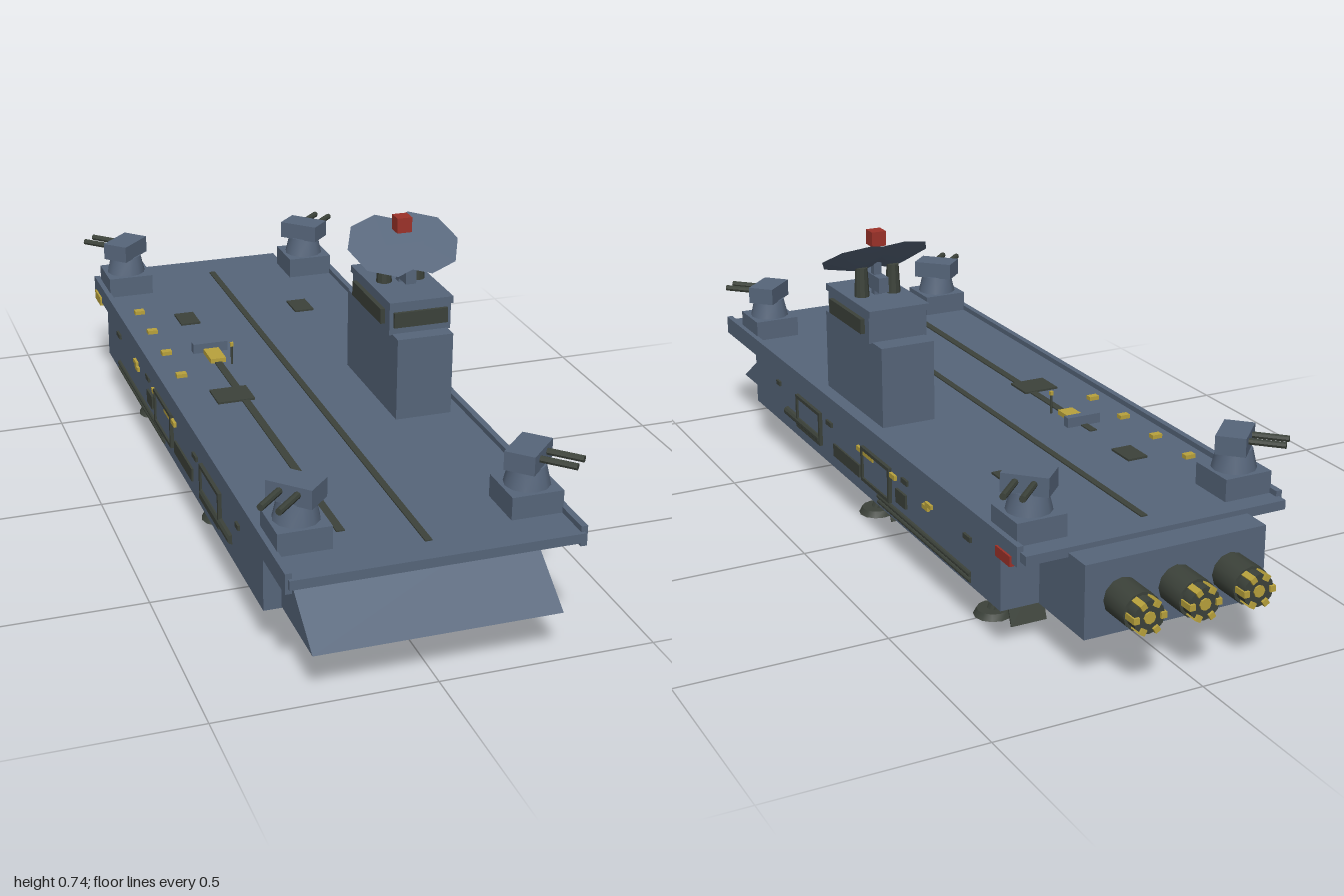
import * as THREE from 'three';
import { toCreasedNormals } from 'three/addons/utils/BufferGeometryUtils.js';

const mat = (name, color) => {
  const m = new THREE.MeshStandardMaterial({ color });
  m.name = name;
  return m;
};

export function createModel() {
  const slate = mat('slate', 0x56657a);
  const dark = mat('darkOlive', 0x3c423a);
  const yellow = mat('yellow', 0xb9a23c);
  const red = mat('red', 0x9c3229);
  const model = new THREE.Group();
  model.name = 'carrierShip';

  const add = (parent, name, geo, material) => {
    const mesh = new THREE.Mesh(geo, material);
    mesh.name = name;
    parent.add(mesh);
    return mesh;
  };
  // Box given by its min and max along each axis
  const box = (parent, name, material, x0, x1, y0, y1, z0, z1) => {
    const mesh = add(parent, name, new THREE.BoxGeometry(Math.abs(x1 - x0), y1 - y0, z1 - z0), material);
    mesh.position.set((x0 + x1) / 2, (y0 + y1) / 2, (z0 + z1) / 2);
    return mesh;
  };
  // Cylinder running from point a to point b
  const rod = (parent, name, material, a, b, ra, rb = ra, sides = 12) => {
    const A = new THREE.Vector3(...a), B = new THREE.Vector3(...b);
    const dir = B.clone().sub(A);
    const geo = toCreasedNormals(new THREE.CylinderGeometry(rb, ra, dir.length(), sides), 0.6);
    const mesh = add(parent, name, geo, material);
    mesh.position.copy(A).add(B).multiplyScalar(0.5);
    mesh.quaternion.setFromUnitVectors(new THREE.Vector3(0, 1, 0), dir.normalize());
    return mesh;
  };

  // Hull, stern block, deck
  box(model, 'hull', slate, -0.32, 0.32, 0.11, 0.272, -0.69, 0.79);
  box(model, 'sternBlock', slate, -0.225, 0.225, 0.108, 0.28, -0.885, -0.68);
  box(model, 'deck', slate, -0.326, 0.326, 0.27, 0.292, -0.815, 0.99);

  // Sloping bow wedge
  const bow = new THREE.Shape([[0.78, 0.115], [1, 0.115], [0.79, 0.257], [0.78, 0.257]]
    .map(p => new THREE.Vector2(...p)));
  const bowGeo = new THREE.ExtrudeGeometry(bow, { depth: 0.56, bevelEnabled: false });
  bowGeo.rotateY(-Math.PI / 2).translate(0.28, 0, 0);
  add(model, 'bowWedge', bowGeo, slate);

  // Deck markings and hatches
  box(model, 'centreLine', dark, -0.008, 0.008, 0.29, 0.295, -0.75, 0.92);
  box(model, 'launchTrack', dark, -0.17, -0.151, 0.29, 0.295, -0.255, 0.825);
  for (const x of [-0.16, 0.158]) box(model, 'deckHatch', dark, x - 0.026, x + 0.026, 0.29, 0.297, -0.462, -0.385);
  box(model, 'deckLift', dark, -0.23, -0.137, 0.29, 0.297, 0.05, 0.13);
  for (const z of [-0.505, -0.36, -0.21, -0.06]) {
    box(model, 'deckLamp', yellow, -0.285, -0.259, 0.29, 0.302, z - 0.009, z + 0.009);
  }

  // Launch shuttle, blast deflector and mast
  box(model, 'shuttle', yellow, -0.18, -0.14, 0.291, 0.304, -0.187, -0.115);
  box(model, 'blastDeflector', slate, -0.205, -0.115, 0.29, 0.317, -0.21, -0.19);
  rod(model, 'mast', dark, [-0.129, 0.29, -0.1], [-0.129, 0.342, -0.1], 0.003, 0.003, 6);
  box(model, 'mastLamp', yellow, -0.133, -0.125, 0.34, 0.35, -0.104, -0.096);

  // Side details, mirrored. Rows: name, material, z0, z1, y0, y1, thickness
  const sideParts = [
    ['sidePanel', slate, 0.315, 0.465, 0.15, 0.225, 0.004],
    ['sidePanel', slate, -0.12, 0.032, 0.155, 0.23, 0.004],
    ['vent', dark, 0.06, 0.225, 0.145, 0.178, 0.005],
    ['hatch', dark, -0.215, -0.16, 0.165, 0.2, 0.006],
    ['port', dark, 0.595, 0.62, 0.215, 0.227, 0.006],
    ['port', dark, 0.235, 0.27, 0.217, 0.229, 0.006],
    ['port', dark, -0.225, -0.193, 0.227, 0.24, 0.006],
    ['port', dark, -0.555, -0.52, 0.217, 0.229, 0.006],
    ['lampStrip', yellow, -0.03, 0.07, 0.217, 0.229, 0.007],
    ['lampStrip', yellow, -0.158, -0.128, 0.217, 0.229, 0.007],
    ['lampStrip', yellow, -0.34, -0.31, 0.208, 0.219, 0.007],
    ['lampStrip', yellow, -0.357, -0.325, 0.219, 0.229, 0.007],
  ];
  for (const s of [1, -1]) {
    const side = new THREE.Group();
    side.name = s > 0 ? 'leftSide' : 'rightSide';
    model.add(side);
    for (const [name, m, z0, z1, y0, y1, t] of sideParts) {
      box(side, name, m, s * 0.315, s * (0.32 + t), y0, y1, z0, z1);
    }
    // Door frames
    for (const [z0, z1, y0, y1] of [[0.307, 0.472, 0.143, 0.233], [-0.128, 0.04, 0.148, 0.238]]) {
      const b = 0.009;
      for (const [a0, a1, c0, c1] of [[z0, z1, y0, y0 + b], [z0, z1, y1 - b, y1],
        [z0, z0 + b, y0, y1], [z1 - b, z1, y0, y1]]) {
        box(side, 'doorFrame', dark, s * 0.315, s * 0.329, c0, c1, a0, a1);
      }
    }
    // Pipes
    for (const [y, z0, z1, r] of [[0.159, 0.315, 0.555, 0.012], [0.138, -0.55, -0.05, 0.007], [0.123, -0.55, -0.05, 0.006]]) {
      rod(side, 'pipe', dark, [s * 0.32, y, z0], [s * 0.32, y, z1], r, r, 10);
    }
    box(side, 'deckRail', slate, s * 0.318, s * 0.333, 0.258, 0.305, -0.79, 0.982);
    box(side, 'navigationLight', s > 0 ? red : yellow, s * 0.317, s * 0.338, 0.25, 0.274, -0.765, -0.7);
  }

  // Corner gun turrets, aimed outwards
  for (const sx of [1, -1]) for (const [sz, z] of [[1, 0.83], [-1, -0.705]]) {
    const turret = new THREE.Group();
    turret.name = 'turret';
    turret.position.set(sx * 0.26, 0, z);
    model.add(turret);
    box(turret, 'turretBase', slate, -0.06, 0.06, 0.29, 0.345, -0.06, 0.06);
    rod(turret, 'turretNeck', slate, [0, 0.345, 0], [0, 0.392, 0], 0.052, 0.041, 12);
    const head = new THREE.Group();
    head.name = 'turretHead';
    head.rotation.y = Math.atan2(sx, sz);
    turret.add(head);
    box(head, 'gunHouse', slate, -0.054, 0.054, 0.39, 0.434, -0.035, 0.035);
    for (const x of [-0.021, 0.021]) {
      rod(head, 'gunBarrel', dark, [x, 0.417, 0.02], [x, 0.417, 0.118], 0.008, 0.008, 8);
    }
  }

  // Command tower
  const tower = new THREE.Group();
  tower.name = 'tower';
  model.add(tower);
  box(tower, 'towerBody', slate, 0.147, 0.286, 0.285, 0.495, -0.005, 0.342);
  box(tower, 'bridge', slate, 0.14, 0.294, 0.493, 0.562, 0.05, 0.303);
  box(tower, 'bridgeRoof', slate, 0.137, 0.296, 0.56, 0.577, 0.04, 0.313);
  box(tower, 'sideWindows', dark, 0.129, 0.305, 0.512, 0.549, 0.075, 0.273);
  box(tower, 'frontWindow', dark, 0.15, 0.284, 0.512, 0.549, 0.29, 0.311);

  // Twin dish antenna on posts
  for (const x of [0.175, 0.259]) {
    rod(tower, 'dishPost', dark, [x, 0.575, 0.17], [x, 0.65, 0.17], 0.019, 0.015, 10);
  }
  box(tower, 'dishBracket', slate, 0.204, 0.23, 0.59, 0.628, 0.13, 0.24);
  box(tower, 'dishColumn', slate, 0.207, 0.227, 0.575, 0.66, 0.165, 0.185);
  const n = [0.855, 0.518];
  [[0.174, 0], [0.26, -0.001]].forEach(([x, d]) => {
    const y = 0.672 + n[0] * d, z = 0.183 + n[1] * d;
    rod(tower, 'dish', slate, [x, y - n[0] * 0.026, z - n[1] * 0.026], [x, y, z], 0.025, 0.097, 8);
  });
  box(tower, 'beacon', red, 0.198, 0.235, 0.702, 0.739, 0.155, 0.192);

  // Engines
  for (const x of [-0.135, 0, 0.135]) {
    const engine = new THREE.Group();
    engine.name = 'engine';
    engine.position.set(x, 0.19, 0);
    model.add(engine);
    rod(engine, 'engineBody', dark, [0, 0, -0.88], [0, 0, -0.965], 0.045, 0.045, 12);
    rod(engine, 'nozzle', dark, [0, 0, -0.96], [0, 0, -0.994], 0.038, 0.038, 12);
    rod(engine, 'coreGlow', yellow, [0, 0, -0.99], [0, 0, -0.998], 0.014, 0.014, 8);
    for (let i = 0; i < 6; i++) {
      const a = i * Math.PI / 3;
      const thruster = box(engine, 'thruster', yellow, -0.007, 0.007, -0.007, 0.007, -1, -0.965);
      thruster.position.x = Math.cos(a) * 0.033;
      thruster.position.y = Math.sin(a) * 0.033;
      thruster.rotation.z = a;
    }
  }

  // Landing legs: x and z at the hull, then foot offset
  const legs = [[0, 0.645, 0, 0.045]];
  for (const s of [1, -1]) legs.push([s * 0.192, 0.155, s * 0.045, 0], [s * 0.192, -0.495, s * 0.045, 0]);
  for (const [x, z, dx, dz] of legs) {
    const leg = new THREE.Group();
    leg.name = 'landingLeg';
    leg.position.set(x, 0, z);
    model.add(leg);
    rod(leg, 'strutMount', dark, [0, 0.115, 0], [dx * 0.25, 0.085, dz * 0.25], 0.022, 0.02);
    rod(leg, 'strut', dark, [0, 0.11, 0], [dx, 0.01, dz], 0.015);
    rod(leg, 'foot', dark, [dx, 0, dz], [dx, 0.015, dz], 0.046, 0.038);
    const flap = box(leg, 'gearDoor', dark, -0.045, 0.045, 0.001, 0.113, -0.071, -0.067);
    flap.rotation.x = 0.36;
  }

  // Belly lamps
  box(model, 'bellyTray', dark, -0.035, 0.035, 0.106, 0.112, -0.605, -0.425);
  for (const z of [-0.57, -0.515, -0.46]) {
    box(model, 'bellyLamp', yellow, -0.027, 0.027, 0.102, 0.11, z - 0.02, z + 0.02);
  }
  return model;
}
